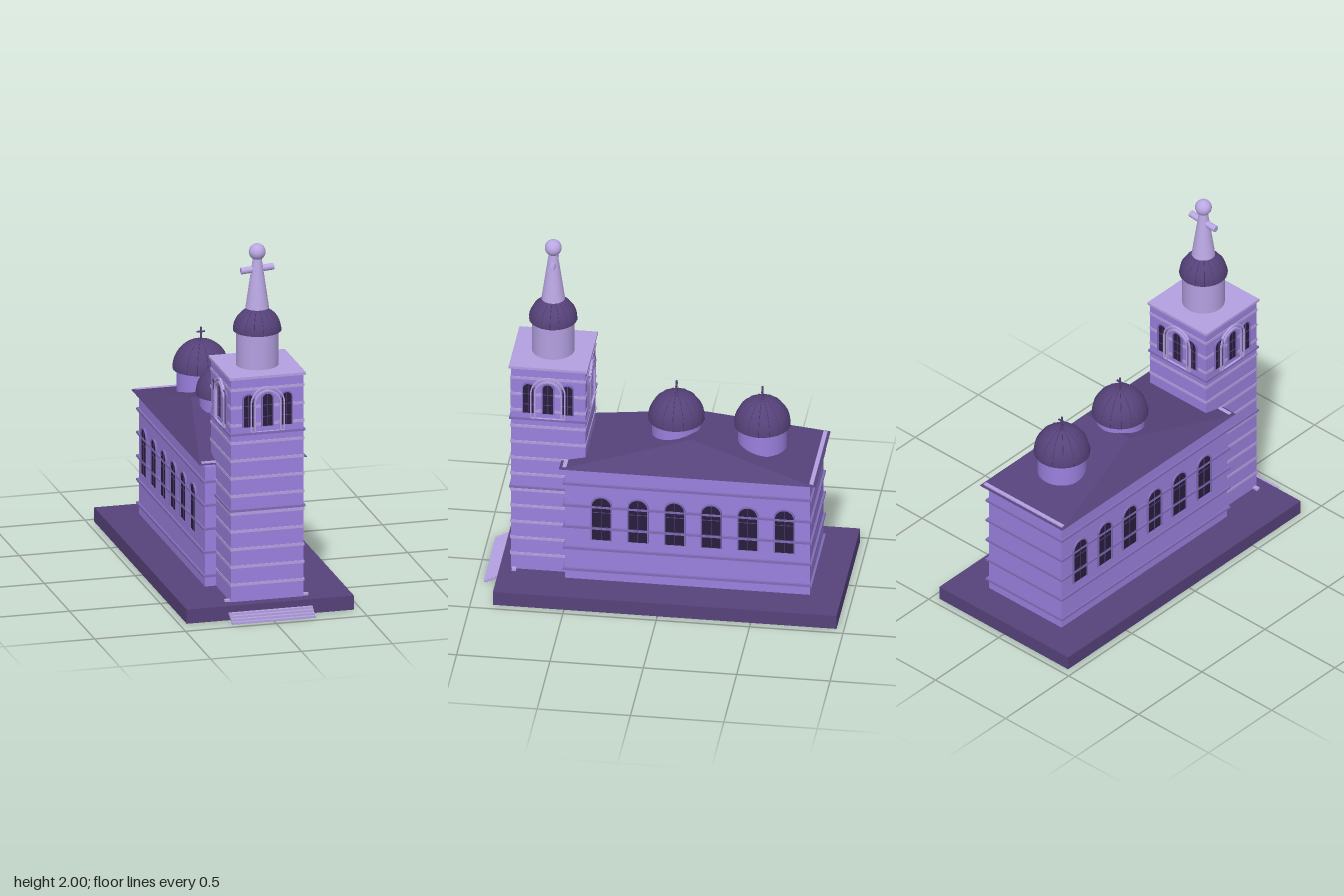
import * as THREE from 'three';
import { ConvexGeometry } from 'three/addons/geometries/ConvexGeometry.js';

const mat = (color) => new THREE.MeshStandardMaterial({ color, side: THREE.DoubleSide });

export function createModel() {
  const model = new THREE.Group();
  const wall = mat(0x9a80de), trim = mat(0xb3a0e0), band = mat(0x806bb8);
  const dark = mat(0x56427a), glass = mat(0x281d3e), spireMat = mat(0xbba8e4);
  const towerZ = 0.62;

  const add = (name, geometry, material, x = 0, y = 0, z = 0, parent = model) => {
    const mesh = new THREE.Mesh(geometry, material);
    mesh.name = name;
    mesh.position.set(x, y, z);
    parent.add(mesh);
    return mesh;
  };
  const box = (name, m, w, h, d, x, y, z, parent) =>
    add(name, new THREE.BoxGeometry(w, h, d), m, x, y, z, parent);
  const cyl = (name, m, rTop, rBottom, y0, y1, z, parent) =>
    add(name, new THREE.CylinderGeometry(rTop, rBottom, y1 - y0, 32), m, 0, (y0 + y1) / 2, z, parent);

  // Round-headed outline, standing on y = 0
  const archPath = (path, w, h) => {
    const r = w / 2;
    path.moveTo(-r, 0);
    path.lineTo(r, 0);
    path.lineTo(r, h - r);
    path.absarc(0, h - r, r, 0, Math.PI, false);
    path.lineTo(-r, 0);
    return path;
  };
  const extrude = (shape, depth) =>
    new THREE.ExtrudeGeometry(shape, { depth, bevelEnabled: false, curveSegments: 12 });

  // Arched window facing +z: pane, frame and glazing bars
  const archWindow = (w, h, x, y, parent) => {
    const g = new THREE.Group();
    g.name = 'archedWindow';
    g.position.set(x, y, 0);
    const frame = archPath(new THREE.Shape(), w + 0.014, h + 0.007);
    frame.holes.push(archPath(new THREE.Path(), w, h));
    add('windowPane', extrude(archPath(new THREE.Shape(), w, h), 0.005), glass, 0, 0, 0, g);
    add('windowFrame', extrude(frame, 0.011), band, 0, 0, 0, g);
    box('windowMullion', dark, 0.003, h, 0.003, 0, h / 2, 0.006, g);
    for (const t of [0.3, 0.65]) box('windowBar', dark, w, 0.003, 0.003, 0, h * t, 0.006, g);
    parent.add(g);
  };

  // Ribbed dome
  const dome = (name, r, y, z) => {
    const g = new THREE.Group();
    g.name = name;
    g.position.set(0, y, z);
    add('domeShell', new THREE.SphereGeometry(r, 32, 12, 0, Math.PI * 2, 0, Math.PI / 2), dark, 0, 0, 0, g);
    add('domeUnderside', new THREE.CircleGeometry(r, 32), dark, 0, 0, 0, g).rotation.x = Math.PI / 2;
    for (let i = 0; i < 8; i++) {
      add('domeRib', new THREE.TorusGeometry(r, 0.002, 4, 24, Math.PI), dark, 0, 0, 0, g).rotation.y = (i * Math.PI) / 8;
    }
    model.add(g);
    return g;
  };

  // Plinth and entrance steps
  box('plinth', dark, 0.92, 0.079, 1.84, 0, 0.0405, -0.04);
  for (let i = 0; i < 4; i++) {
    box('entranceStep', trim, 0.46, 0.011, 0.022, 0, 0.0055 + i * 0.011, 0.949 - i * 0.02);
  }

  // Nave with string courses
  box('nave', wall, 0.52, 0.665, 1.31, 0, 0.4125, -0.135);
  for (let i = 0; i < 5; i++) {
    box('naveStringCourse', band, 0.545, 0.012, 1.335, 0, 0.14 + i * 0.131, -0.135);
  }
  for (const s of [-1, 1]) {
    const side = new THREE.Group();
    side.name = s > 0 ? 'leftNaveWindows' : 'rightNaveWindows';
    side.position.set(s * 0.26, 0, -0.165);
    side.rotation.y = (s * Math.PI) / 2;
    for (let i = 0; i < 6; i++) archWindow(0.1, 0.26, (i - 2.5) * 0.196, 0.333, side);
    side.children.forEach((w) => (w.position.z = 0.005));
    model.add(side);
  }

  // Hipped roof with its ridge across the nave, and eave bars at both ends
  const corners = [];
  for (const x of [-1, 1]) {
    corners.push(new THREE.Vector3(x * 0.295, 0.765, 0.55), new THREE.Vector3(x * 0.295, 0.765, -0.825));
    corners.push(new THREE.Vector3(x * 0.155, 0.922, -0.138));
  }
  add('naveRoof', new ConvexGeometry(corners), dark);
  for (const z of [-0.8, 0.522]) box('eaveBar', trim, 0.56, 0.012, 0.022, 0, 0.769, z);

  // Two nave cupolas with crosses
  for (const z of [-0.04, -0.5]) {
    cyl('cupolaDrum', wall, 0.13, 0.13, 0.83, 0.96, z);
    const g = dome('cupola', 0.15, 0.96, z);
    g.scale.y = 1.07;
    box('crossPost', dark, 0.008, 0.075, 0.008, 0, 1.152, z);
    box('crossArm', dark, 0.045, 0.008, 0.008, 0, 1.163, z);
  }

  // Bell tower with light courses and cornices
  box('tower', wall, 0.4, 1.32, 0.4, 0, 0.66, towerZ);
  for (let i = 0; i < 12; i++) {
    box('towerCourse', trim, 0.406, 0.016, 0.406, 0, 0.175 + i * 0.0985, towerZ);
  }
  for (const y of [0.587, 1.01]) box('towerCornice', band, 0.416, 0.012, 0.416, 0, y, towerZ);
  box('towerTopCornice', trim, 0.42, 0.014, 0.42, 0, 1.323, towerZ);
  box('towerThreshold', trim, 0.46, 0.012, 0.022, 0, 0.086, 0.8);

  // Belfry openings and arched surrounds on all four faces
  for (let k = 0; k < 4; k++) {
    const face = new THREE.Group();
    face.name = 'belfryFace';
    face.position.set(0, 0, towerZ);
    face.rotation.y = (k * Math.PI) / 2;
    for (const x of [-0.105, 0, 0.105]) archWindow(0.055, 0.18, x, 1.048, face);
    face.children.forEach((w) => (w.position.z = 0.2));
    for (const r of [0.095, 0.075]) {
      const surround = archPath(new THREE.Shape(), r * 2, 1.268 - 1.02 - (0.095 - r));
      surround.holes.push(archPath(new THREE.Path(), r * 2 - 0.016, 1.26 - 1.02 - (0.095 - r)));
      add('belfryArch', extrude(surround, 0.013), trim, 0, 1.02, 0.2, face);
    }
    model.add(face);
  }

  // Lantern, dome and spire
  cyl('lanternDrum', trim, 0.114, 0.114, 1.325, 1.52, towerZ);
  dome('lanternDome', 0.128, 1.52, towerZ);
  cyl('spire', spireMat, 0.022, 0.063, 1.645, 1.93, towerZ);
  add('spireBall', new THREE.SphereGeometry(0.045, 24, 16), spireMat, 0, 1.955, towerZ);
  const bar = add('spireCrossbar', new THREE.CylinderGeometry(0.018, 0.018, 0.18, 16), spireMat, 0, 1.86, towerZ);
  bar.rotation.z = Math.PI / 2 + 0.07;

  return model;
}
